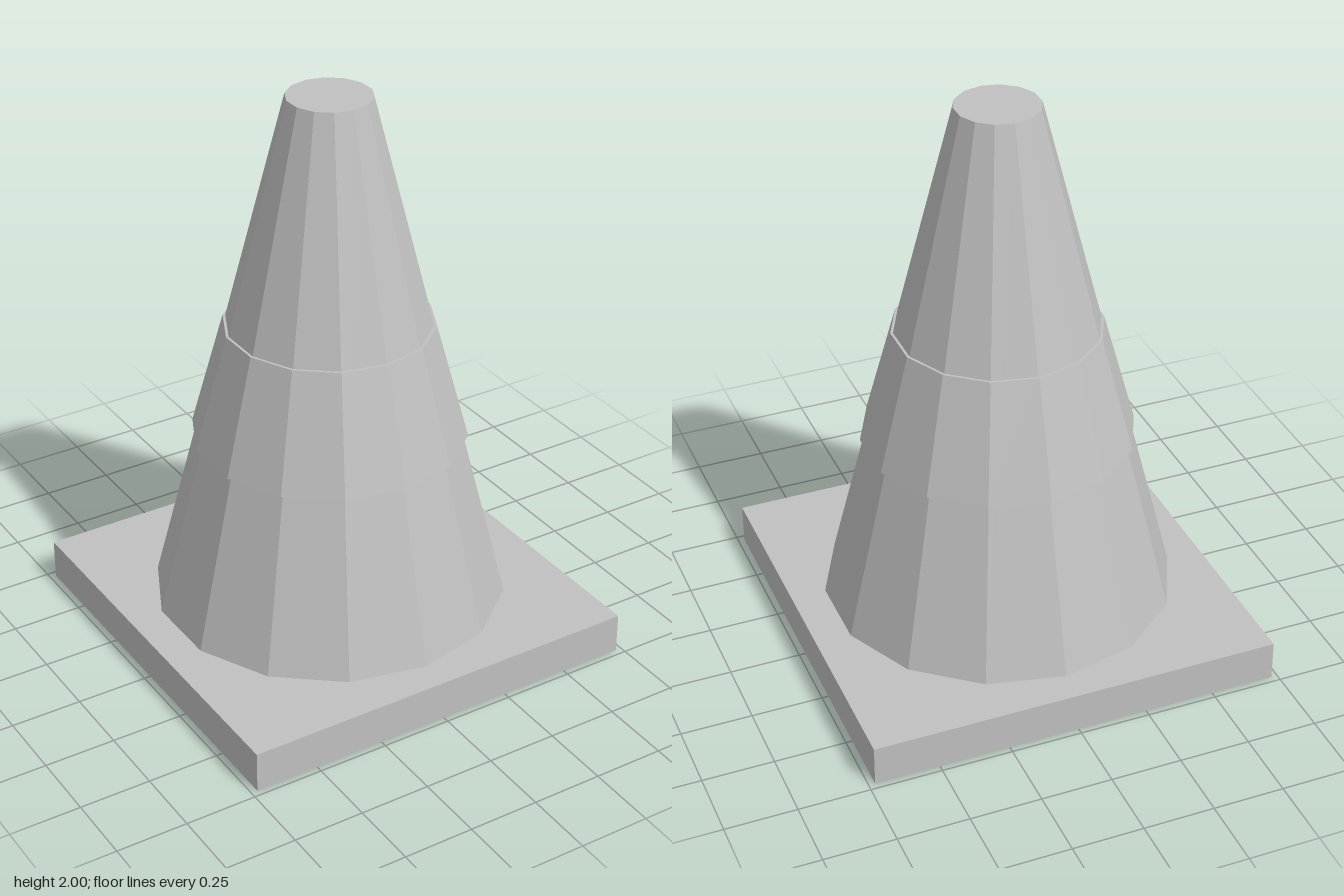
import * as THREE from 'three';

const SIDES = 14;

export function createModel() {
  const group = new THREE.Group();
  const grey = new THREE.MeshStandardMaterial({ color: 0xc0c0c0, flatShading: true });
  grey.name = 'light grey';

  function add(name, geometry, y) {
    const mesh = new THREE.Mesh(geometry, grey);
    mesh.name = name;
    mesh.position.y = y;
    group.add(mesh);
  }

  // Faceted frustum standing between two heights
  function frustum(name, topRadius, bottomRadius, y0, y1) {
    add(name, new THREE.CylinderGeometry(topRadius, bottomRadius, y1 - y0, SIDES), (y0 + y1) / 2);
  }

  // Square foot plate
  add('basePlate', new THREE.BoxGeometry(1.455, 0.145, 1.455), 0.0725);

  // Tapered body with a flat closed top
  frustum('coneBody', 0.145, 0.618, 0.145, 2);

  // Slightly raised sleeve around the middle
  frustum('sleeveBand', 0.362, 0.476, 0.77, 1.185);

  return group;
}
